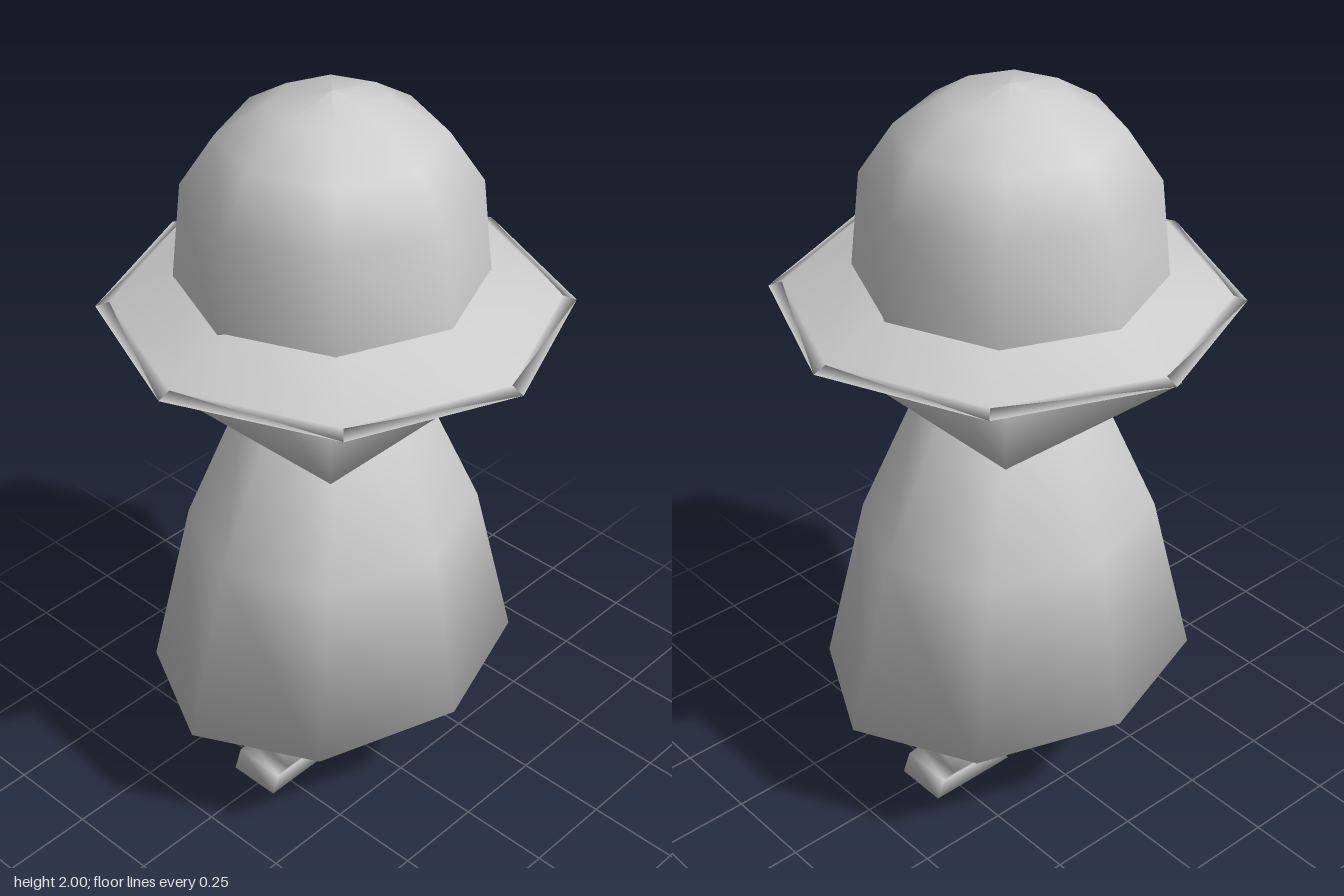
import * as THREE from 'three';

// Smooth-shaded loft through horizontal rings, listed from top to bottom.
// Each ring is [y, centreX, centreZ, radiusX, radiusZ]; the ends may be closed.
function loft(rings, sides, phase = 0, capTop = true, capBottom = true) {
  const pos = [], index = [];
  for (const [y, cx, cz, rx, rz] of rings) {
    for (let i = 0; i < sides; i++) {
      const a = phase + (i / sides) * Math.PI * 2;
      pos.push(cx + rx * Math.cos(a), y, cz + rz * Math.sin(a));
    }
  }
  for (let r = 0; r < rings.length - 1; r++) {
    for (let i = 0; i < sides; i++) {
      const j = (i + 1) % sides;
      const a = r * sides + i, b = r * sides + j, c = a + sides, d = b + sides;
      index.push(a, b, c, b, d, c);
    }
  }
  const cap = (r, up) => {
    const [y, cx, cz] = rings[r];
    const centre = pos.length / 3;
    pos.push(cx, y, cz);
    for (let i = 0; i < sides; i++) {
      const a = r * sides + i, b = r * sides + (i + 1) % sides;
      if (up) index.push(centre, b, a);
      else index.push(centre, a, b);
    }
  };
  if (capTop) cap(0, true);
  if (capBottom) cap(rings.length - 1, false);
  const g = new THREE.BufferGeometry();
  g.setAttribute('position', new THREE.Float32BufferAttribute(pos, 3));
  g.setIndex(index);
  g.computeVertexNormals();
  return g;
}

export function createModel() {
  const group = new THREE.Group();
  const clay = new THREE.MeshStandardMaterial({ color: 0xcccccc, side: THREE.DoubleSide });
  clay.name = 'pale grey';
  const add = (name, geometry) => {
    const mesh = new THREE.Mesh(geometry, clay);
    mesh.name = name;
    group.add(mesh);
  };
  const round = (y, r, cx = 0, cz = 0) => [y, cx, cz, r, r];

  // Hat: eight-sided crown
  const crown = [[2, 0.002], [1.97, 0.152], [1.89, 0.28], [1.76, 0.368], [1.505, 0.395]];
  add('hatCrown', loft(crown.map(([y, r]) => round(y, r, 0.005, -0.019)), 8, 0, true, false));

  // Hat: straight sloping brim, closed flat underneath
  add('hatBrim', loft([round(1.515, 0.375), round(1.443, 0.565), round(1.43, 0.6)], 8, 0, false, true));

  // Square flared collar below the hat
  const square = (y, half) => round(y, half * Math.SQRT2, -0.018, -0.018);
  add('collar', loft([square(1.432, 0.248), square(1.183, 0.3)], 4, Math.PI / 4));

  // Robe: wide oval bell with a flat floor
  add('robe', loft([
    [1.185, 0.003, -0.015, 0.222, 0.222],
    [0.8, 0.005, -0.015, 0.413, 0.36],
    [0.325, 0.005, -0.015, 0.546, 0.445],
  ], 8));

  // Bent square legs with wedge feet: [y, inner x, outer x], mirrored
  const legRows = [
    [0.33, 0.12, 0.262], [0.185, 0.165, 0.315], [0.06, 0.1, 0.265],
    [0.053, 0.098, 0.303], [0, 0.068, 0.325],
  ];
  for (const side of [1, -1]) {
    const rings = legRows.map(([y, x0, x1]) =>
      [y, 0.005 + side * (x0 + x1) / 2, -0.015, (x1 - x0) / Math.SQRT2, 0.075 * Math.SQRT2]);
    add(side > 0 ? 'leftLeg' : 'rightLeg', loft(rings, 4, Math.PI / 4));
  }
  return group;
}
